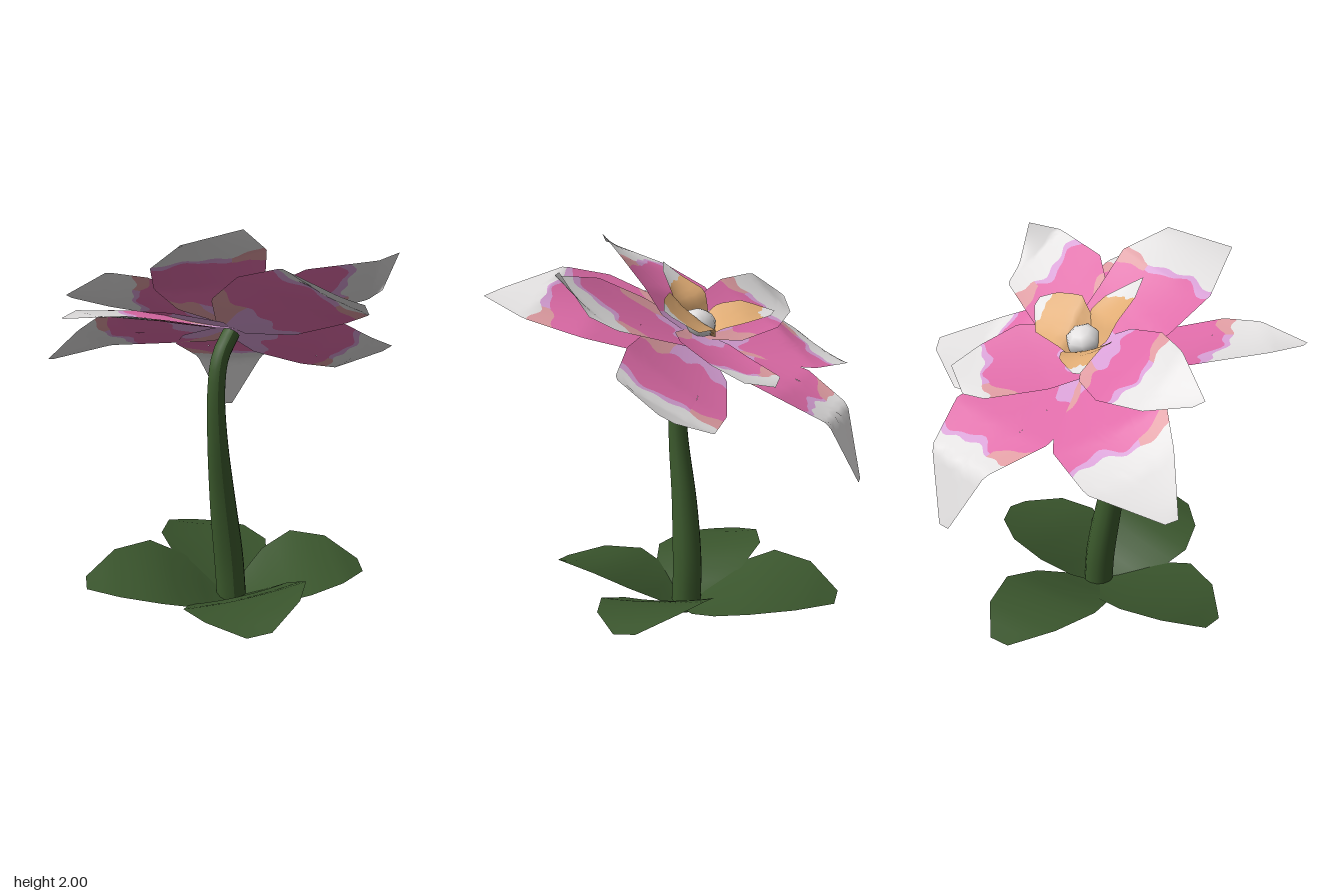
import * as THREE from 'three';

const mat = (name, color, side = THREE.DoubleSide) => {
  const m = new THREE.MeshStandardMaterial({ color, side });
  m.name = name;
  return m;
};
const pink = mat('pink', 0xe06ca9), white = mat('white', 0xe2e0e0), lilac = mat('lilac', 0xd8a0d6);
const peach = mat('peach', 0xdf9ca2), amber = mat('amber', 0xe0ac74);
const leafGreen = mat('leafGreen', 0x39542c), stemGreen = mat('stemGreen', 0x3b592c);

const V = (a) => new THREE.Vector3(...a);

// A bent sheet through rows of [left, right] points; s runs outward (0..rows-1), v runs across (0..1)
function sheet(rows, cup) {
  const n = rows.length - 1;
  return (s, v) => {
    const i = Math.min(Math.floor(s), n - 1), f = s - i;
    const l = rows[i][0].clone().lerp(rows[i + 1][0], f);
    const r = rows[i][1].clone().lerp(rows[i + 1][1], f);
    const p = l.lerp(r, v);
    p.y -= cup * 4 * v * (1 - v) * Math.sin(Math.PI * s / n);
    return p;
  };
}

// One coloured area of a sheet between two borders s0(v) and s1(v)
function zone(name, material, surface, s0, s1, v0 = 0, v1 = 1) {
  const across = Math.round(20 * (v1 - v0)), along = 10, pos = [], idx = [];
  for (let j = 0; j <= along; j++) {
    for (let i = 0; i <= across; i++) {
      const v = v0 + (v1 - v0) * i / across;
      const a = s0(v), b = s1(v);
      pos.push(...surface(a + (b - a) * j / along, v).toArray());
      if (i < across && j < along) {
        const q = j * (across + 1) + i, up = q + across + 1;
        idx.push(q, q + 1, up, q + 1, up + 1, up);
      }
    }
  }
  const g = new THREE.BufferGeometry();
  g.setAttribute('position', new THREE.Float32BufferAttribute(pos, 3));
  g.setIndex(idx);
  g.computeVertexNormals();
  const m = new THREE.Mesh(g, material);
  m.name = name;
  return m;
}

// A petal from its left and right edge points, with a wavy border before the white tip
function petal(name, border, seed, center, [wideL, wideR], [shoulderL, shoulderR], [tipL, tipR], main = pink) {
  const c = V(center), wl = V(wideL), wr = V(wideR);
  const half = wr.clone().sub(wl).multiplyScalar(0.5);
  const inner = c.clone().lerp(wl.clone().add(wr).multiplyScalar(0.5), 0.4);
  const pair = (p, k) => [p.clone().addScaledVector(half, -k), p.clone().addScaledVector(half, k)];
  const rows = [
    pair(c, 0.3), pair(inner, 0.82), [wl, wr],
    [V(shoulderL), V(shoulderR)], [V(tipL), V(tipR)],
  ];
  const surface = sheet(rows, 0.02);
  const wave = (base, amp) => (v) => base + amp * (Math.sin(8 * v + seed) + 0.6 * Math.sin(21 * v + 2 * seed));
  const start = () => 0, end = () => 4;
  const edge = wave(border + 1, 0.07);
  const g = new THREE.Group();
  g.name = name;
  if (main === pink) {
    const ripple = wave(1.15, 0.14);
    const core = (v) => ripple(v) + 0.4 * Math.max(0, (v - 0.7) / 0.3);
    const band = (v) => edge(v) - 0.13 - 0.05 * Math.sin(13 * v + seed);
    const corner = (v) => edge(v) - 0.15 - 0.3 * Math.max(0, 1 - v / 0.3);
    g.add(zone('petalHeart', lilac, surface, start, core, 0, 0.7));
    g.add(zone('petalHeartSide', peach, surface, start, core, 0.7, 1));
    g.add(zone('petalBodySide', pink, surface, core, corner, 0, 0.3));
    g.add(zone('petalCorner', peach, surface, corner, edge, 0, 0.3));
    g.add(zone('petalBody', pink, surface, core, band, 0.3, 1));
    g.add(zone('petalBand', lilac, surface, band, edge, 0.3, 1));
  } else {
    g.add(zone('petalBody', main, surface, start, edge));
  }
  g.add(zone('petalTip', white, surface, edge, end));
  return g;
}

function leaf(angle, length, tilt) {
  // each row: distance outward, height, half width
  const rows = [[0, 0.03, 0.05], [0.08, 0.07, 0.15], [0.22, 0.15, 0.26], [0.4, 0.22, 0.31], [0.6, 0.225, 0.23], [0.76, 0.18, 0.06]]
    .map(([d, y, w]) => [1, -1].map((k) => V([k * w, y + k * w * tilt, d * length])));
  const m = zone('leaf', leafGreen, sheet(rows, 0.02), () => 0, () => 5);
  m.rotation.y = angle;
  m.position.x = -0.03;
  return m;
}

// Curved stem, thinner toward the flower
function stem() {
  const path = new THREE.CatmullRomCurve3([
    [-0.03, 0.02, -0.01], [-0.045, 0.25, -0.01], [-0.085, 0.6, 0.02], [-0.12, 0.95, 0.065],
    [-0.125, 1.2, 0.07], [-0.1, 1.36, 0.05], [-0.03, 1.47, -0.01],
  ].map(V));
  const segs = 28, sides = 12;
  const g = new THREE.TubeGeometry(path, segs, 1, sides);
  const p = g.attributes.position, v = new THREE.Vector3();
  for (let i = 0; i < p.count; i++) {
    const t = Math.floor(i / (sides + 1)) / segs;
    const c = path.getPointAt(t);
    const r = 0.08 - 0.035 * THREE.MathUtils.smoothstep(t, 0.1, 0.85);
    v.fromBufferAttribute(p, i).sub(c).multiplyScalar(r).add(c);
    p.setXYZ(i, v.x, Math.max(v.y, 0.01), v.z);
  }
  g.computeVertexNormals();
  const m = new THREE.Mesh(g, stemGreen);
  m.name = 'stem';
  return m;
}

export function createModel() {
  const model = new THREE.Group();
  model.name = 'flower';
  model.add(stem());

  // Root knob under the leaves
  const knob = new THREE.Mesh(new THREE.CylinderGeometry(0.07, 0.06, 0.05, 8), leafGreen);
  knob.name = 'rootKnob';
  knob.position.set(-0.025, 0.025, 0);
  model.add(knob);

  // Four leaves around the foot
  [[-0.05, 0.98, 0.16], [1.47, 0.93, 0.19], [3.16, 1.08, 0.16], [4.68, 1.02, -0.16]]
    .forEach(([angle, length, tilt]) => model.add(leaf(angle, length, tilt)));

  // Outer ring of petals
  const low = [-0.02, 1.49, -0.06], high = [-0.02, 1.53, -0.06], heart = [-0.04, 1.54, -0.08];
  model.add(
    petal('backPetal', 1.6, 0.4, low,
      [[-0.22, 1.33, -0.6], [0.4, 1.33, -0.56]], [[-0.05, 1.21, -0.83], [0.33, 1.2, -0.8]],
      [[0.12, 0.89, -0.93], [0.18, 0.89, -0.93]]),
    petal('leftPetal', 1.7, 1.9, low,
      [[0.45, 1.23, -0.36], [0.5, 1.53, 0.1]], [[0.65, 1.2, -0.36], [0.7, 1.43, 0.08]],
      [[0.89, 1.3, -0.26], [0.92, 1.34, -0.2]]),
    petal('frontPetal', 1.95, 3.1, low,
      [[0.44, 1.55, 0.35], [-0.1, 1.79, 0.43]], [[0.45, 1.63, 0.65], [0.05, 1.84, 0.62]],
      [[0.32, 1.71, 0.93], [0.23, 1.74, 0.88]]),
    petal('rightFrontPetal', 1.4, 4.2, low,
      [[-0.42, 1.61, 0.48], [-0.5, 1.59, -0.06]], [[-0.61, 1.64, 0.51], [-0.81, 1.64, 0.26]],
      [[-0.88, 1.63, 0.47], [-0.88, 1.63, 0.43]]),
    petal('rightBackPetal', 1.55, 5.3, low,
      [[-0.62, 1.57, -0.28], [-0.28, 1.33, -0.63]], [[-0.77, 1.45, -0.42], [-0.57, 1.31, -0.75]],
      [[-0.93, 1.27, -0.6], [-0.9, 1.26, -0.65]]),
  );

  // Inner ring of petals
  model.add(
    petal('innerLeftFrontPetal', 1.6, 0.9, high,
      [[0.4, 1.55, -0.03], [0.25, 1.81, 0.34]], [[0.66, 1.63, 0.08], [0.58, 1.85, 0.41]],
      [[0.69, 1.69, 0.2], [0.72, 1.88, 0.32]]),
    petal('innerFrontPetal', 2.1, 2.3, high,
      [[0.1, 1.75, 0.16], [-0.42, 1.7, 0.0]], [[0.07, 1.9, 0.3], [-0.47, 1.82, 0.26]],
      [[-0.08, 2.0, 0.46], [-0.38, 1.94, 0.57]]),
    petal('innerRightPetal', 1.4, 3.7, high,
      [[-0.44, 1.75, -0.07], [-0.34, 1.52, -0.41]], [[-0.63, 1.77, -0.19], [-0.6, 1.57, -0.42]],
      [[-0.83, 1.65, -0.3], [-0.8, 1.63, -0.34]]),
    petal('innerBackPetal', 2.0, 4.8, high,
      [[0.0, 1.42, -0.34], [0.4, 1.55, -0.12]], [[0.22, 1.38, -0.55], [0.5, 1.47, -0.3]],
      [[0.36, 1.36, -0.56], [0.54, 1.41, -0.46]]),
  );

  // Amber heart petals
  model.add(
    petal('heartBackPetal', 2.6, 1.2, heart,
      [[-0.2, 1.65, -0.12], [0.03, 1.56, -0.22]], [[-0.23, 1.67, -0.24], [-0.04, 1.58, -0.31]],
      [[-0.25, 1.62, -0.41], [-0.2, 1.6, -0.4]], amber),
    petal('heartLeftPetal', 2.3, 2.6, heart,
      [[0.07, 1.56, -0.19], [0.11, 1.74, 0.03]], [[0.25, 1.57, -0.16], [0.25, 1.72, 0.01]],
      [[0.34, 1.65, -0.06], [0.34, 1.68, -0.02]], amber),
    petal('heartFrontPetal', 2.1, 4.4, heart,
      [[0.05, 1.68, 0.02], [-0.18, 1.72, -0.06]], [[0.0, 1.75, 0.07], [-0.18, 1.79, 0.07]],
      [[-0.1, 1.82, 0.14], [-0.16, 1.86, 0.16]], amber),
  );

  // White bud in the middle
  const bud = new THREE.Mesh(new THREE.SphereGeometry(0.088, 7, 6), white);
  bud.name = 'bud';
  bud.position.set(0.0, 1.58, -0.09);
  bud.rotation.x = -0.4;
  bud.scale.y = 0.75;
  model.add(bud);

  return model;
}
